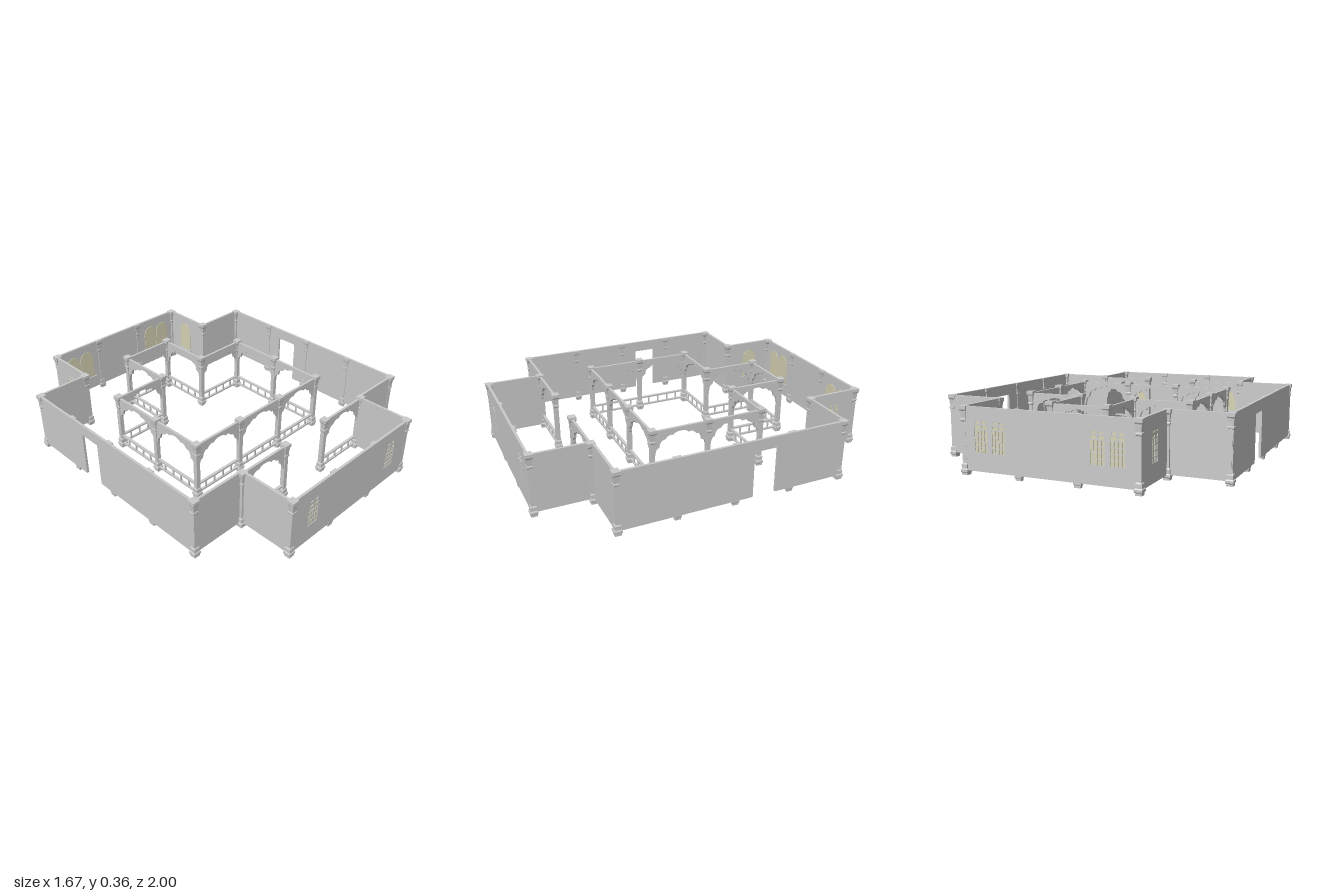
import * as THREE from 'three';

const stone = new THREE.MeshStandardMaterial({ color: 0xcccccc, flatShading: true });
const glass = new THREE.MeshStandardMaterial({ color: 0xd8d4b4, flatShading: true });
const TOP = 0.355, BOTTOM = 0.025, THICK = 0.014, BAY = 0.33;

function add(parent, name, geometry, material = stone, x = 0, y = 0, z = 0) {
  const mesh = new THREE.Mesh(geometry, material);
  mesh.name = name;
  mesh.position.set(x, y, z);
  parent.add(mesh);
  return mesh;
}

const slab = (shape, depth) =>
  new THREE.ExtrudeGeometry(shape, { depth, bevelEnabled: false, curveSegments: 6 });

function rectPath(x0, y0, x1, y1) {
  return new THREE.Path([[x0, y0], [x1, y0], [x1, y1], [x0, y1]].map(p => new THREE.Vector2(...p)));
}

// Square column: foot, plinth, shaft, flared capital and cap
const columnProfile = [
  [0, 0], [0.017, 0], [0.017, 0.012], [0.021, 0.016], [0.021, 0.028], [0.017, 0.034], [0.017, 0.055],
  [0.0125, 0.062], [0.0125, 0.275], [0.016, 0.28], [0.016, 0.288], [0.0135, 0.292], [0.0165, 0.33],
  [0.021, 0.337], [0.021, TOP + 0.001], [0, TOP + 0.001],
].map(([half, y]) => new THREE.Vector2(half * Math.SQRT2, y));
const columnGeometry = new THREE.LatheGeometry(columnProfile, 4).rotateY(Math.PI / 4);

// Pane openings of one window, cut through the wall
function paneHoles(u) {
  const holes = [];
  for (let c = 0; c < 4; c++) {
    for (let r = 0; r < 4; r++) {
      const x = u - 0.04 + c * 0.02, y = 0.12 + r * 0.03;
      holes.push(rectPath(x + 0.002, y + 0.002, x + 0.018, y + 0.028));
    }
  }
  for (const s of [-1, 1]) {
    holes.push(new THREE.Path().absellipse(u + s * 0.02, 0.252, 0.017, 0.01, 0, Math.PI * 2));
    holes.push(new THREE.Path().absellipse(u + s * 0.018, 0.276, 0.013, 0.007, 0, Math.PI * 2));
  }
  return holes;
}

// Outline of the glazing, rectangular or with a rounded head
function glazingShape(w, arched) {
  const h = w / 2, s = new THREE.Shape();
  s.moveTo(-h, 0.112);
  s.lineTo(h, 0.112);
  if (arched) {
    s.lineTo(h, 0.235);
    s.quadraticCurveTo(h, 0.3, 0, 0.302);
    s.quadraticCurveTo(-h, 0.3, -h, 0.235);
  } else {
    s.lineTo(h, 0.29);
    s.lineTo(-h, 0.29);
  }
  return s;
}

function addWindow(wall, u, arched) {
  const w = 0.098;
  add(wall, 'windowGlass', slab(glazingShape(w, arched), 0.014), glass, u, 0, -0.0105);
  add(wall, 'windowSill', new THREE.BoxGeometry(w + 0.025, 0.01, 0.016), stone, u, 0.107, -0.009);
  if (!arched) add(wall, 'windowLintel', new THREE.BoxGeometry(w + 0.012, 0.007, 0.012), stone, u, 0.293, -0.008);
}

// Wall whose outer face looks along the given angle
function addWall(root, name, x, z, length, angle, { windows = [], arched = false, door = null } = {}) {
  const group = new THREE.Group();
  group.name = name;
  group.position.set(x, 0, z);
  group.rotation.y = angle;
  const h = length / 2, s = new THREE.Shape();
  s.moveTo(-h, BOTTOM);
  if (door !== null) {
    s.lineTo(door - 0.068, BOTTOM);
    s.lineTo(door - 0.068, 0.29);
    s.lineTo(door + 0.068, 0.29);
    s.lineTo(door + 0.068, BOTTOM);
  }
  s.lineTo(h, BOTTOM);
  s.lineTo(h, TOP);
  s.lineTo(-h, TOP);
  for (const u of windows) {
    s.holes.push(...paneHoles(u));
    addWindow(group, u, arched);
  }
  add(group, name + 'Panel', slab(s, THICK), stone, 0, 0, -THICK / 2);
  root.add(group);
}

// Lobed arch panel filling the head of one bay
function archGeometry() {
  const h = BAY / 2 - 0.01, s = new THREE.Shape();
  const lobes = [[0.125, 0.245, 0.148, 0.24], [0.09, 0.288, 0.122, 0.288], [0.045, 0.305, 0.07, 0.316], [0, 0.322, 0.032, 0.322]];
  s.moveTo(-h, 0.345);
  s.lineTo(-h, 0.195);
  s.lineTo(-0.148, 0.205);
  for (const [x, y, cx, cy] of lobes) s.quadraticCurveTo(-cx, cy, -x, y);
  for (let i = lobes.length - 1; i >= 0; i--) {
    const [, , cx, cy] = lobes[i];
    const [x, y] = i ? lobes[i - 1] : [0.148, 0.205];
    s.quadraticCurveTo(cx, cy, x, y);
  }
  s.lineTo(h, 0.195);
  s.lineTo(h, 0.345);
  return slab(s, THICK).translate(0, 0, -THICK / 2);
}
const arch = archGeometry();
const topRail = new THREE.BoxGeometry(BAY - 0.02, 0.01, 0.016);
const lowRail = new THREE.BoxGeometry(BAY - 0.02, 0.01, 0.014);
const baluster = new THREE.BoxGeometry(0.008, 0.05, 0.008);

// Arch with railing between two neighbouring columns
function addBay(root, x, z, alongZ) {
  const bay = new THREE.Group();
  bay.name = 'arcadeBay';
  bay.position.set(x, 0, z);
  if (alongZ) bay.rotation.y = Math.PI / 2;
  add(bay, 'arch', arch);
  add(bay, 'handrail', topRail, stone, 0, 0.08, 0);
  add(bay, 'bottomRail', lowRail, stone, 0, 0.028, 0);
  for (let i = 0; i < 4; i++) add(bay, 'baluster', baluster, stone, (i - 1.5) * 0.066, 0.054, 0);
  root.add(bay);
}

export function createModel() {
  const root = new THREE.Group();
  root.name = 'courtyardBuilding';
  const column = (name, x, z, sx = 1, sz = 1) => add(root, name, columnGeometry, stone, x, 0, z).scale.set(sx, 1, sz);

  // End walls
  addWall(root, 'frontWall', 0, 0.983, 0.99, 0, { windows: [-0.33, 0.33] });
  addWall(root, 'backWall', 0, -0.983, 0.99, Math.PI, { windows: [-0.377, -0.273, 0.273, 0.377], arched: true });
  for (const x of [-0.165, 0.165]) {
    column('frontPilaster', x, 0.978, 1, 0.55);
    column('backPilaster', x, -0.978, 1, 0.55);
    column('galleryColumn', x, 0.66);
  }

  for (const s of [-1, 1]) {
    const side = s * Math.PI / 2;
    // Side walls, wing walls and shoulders
    addWall(root, 'sideWall', s * 0.818, 0, 1.32, side, { door: s * 0.167 });
    addWall(root, 'frontWingWall', s * 0.488, 0.82, 0.33, side);
    addWall(root, 'backWingWall', s * 0.488, -0.82, 0.33, side, { windows: [s * 0.01], arched: true });
    addWall(root, 'frontShoulder', s * 0.655, 0.653, 0.33, 0);
    addWall(root, 'backShoulder', s * 0.655, -0.658, 0.33, Math.PI);

    // Columns where outer walls meet, and pilasters along the sides
    for (const e of [-1, 1]) {
      column('outerCornerColumn', s * 0.812, e * 0.65);
      column('wingCornerColumn', s * 0.482, e * 0.978);
      column('innerCornerColumn', s * 0.495, e * 0.663);
    }
    for (const z of [-BAY, 0, BAY]) column('sidePilaster', s * 0.813, z, 0.55, 1);

    // Courtyard columns
    for (const z of [-BAY, 0, BAY]) column('courtColumn', s * 0.495, z);
    for (const z of [-0.665, -BAY, BAY]) column('courtColumn', s * 0.165, z);

    // Courtyard bays on both halves
    addBay(root, s * BAY, 0.66, false);
    addBay(root, s * BAY, BAY, false);
    addBay(root, s * BAY, -BAY, false);
    addBay(root, s * 0.495, BAY / 2, true);
    addBay(root, s * 0.495, -BAY / 2, true);
    addBay(root, s * 0.165, -0.497, true);
  }
  addBay(root, 0, BAY, false);
  addBay(root, 0, -0.665, false);
  return root;
}
